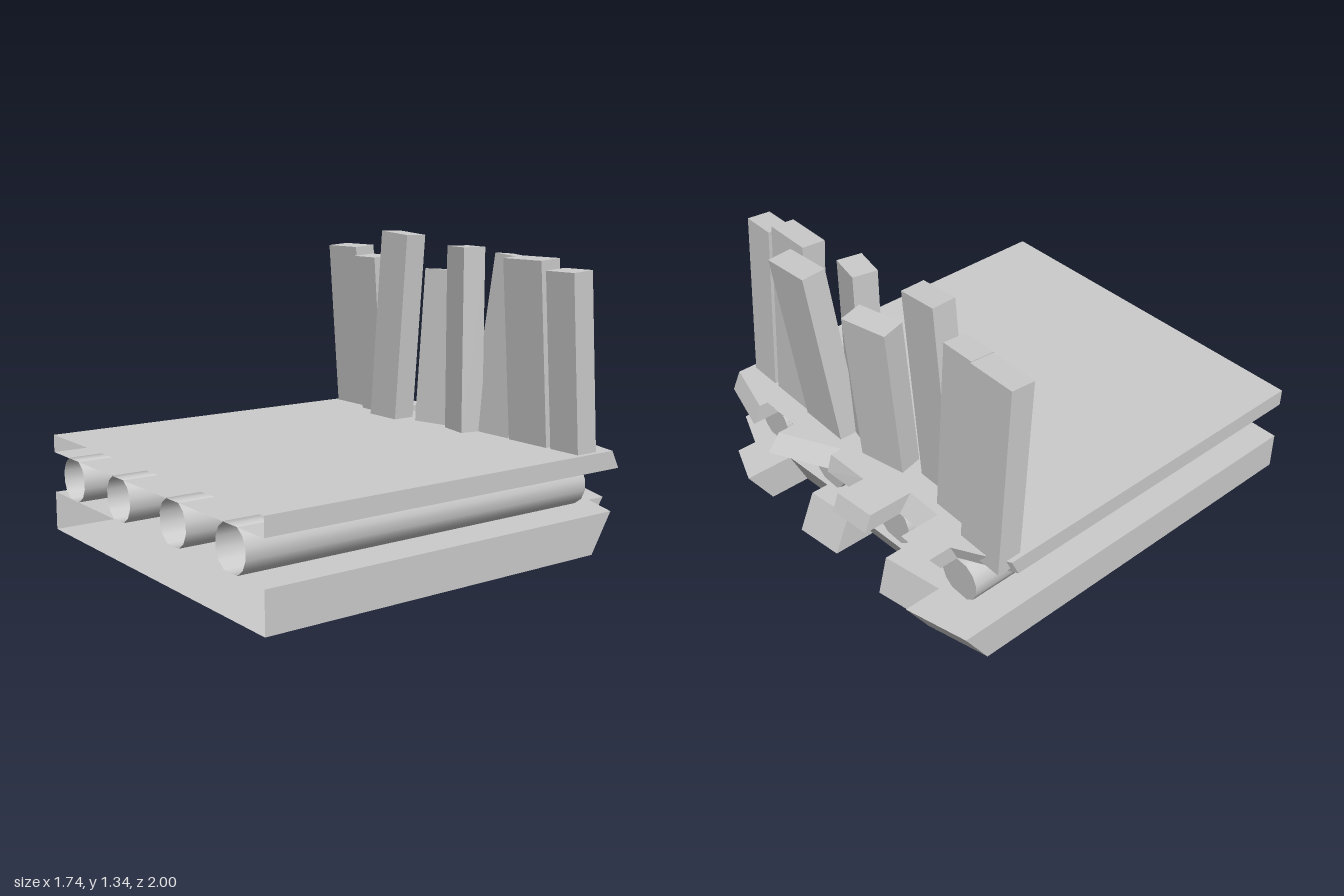
import * as THREE from 'three';

const stone = new THREE.MeshStandardMaterial({ color: 0xcccccc, side: THREE.DoubleSide, flatShading: true });
const smooth = new THREE.MeshStandardMaterial({ color: 0xcccccc, side: THREE.DoubleSide });
const HALF = 0.87, FRONT = 1;

// Slab with an open front and a broken back edge.
// Each segment: [x0, x1, top z at x0, top z at x1, bottom z at x0, bottom z at x1]
function slab(name, y0, y1, segments) {
  const line = [[-HALF, FRONT, FRONT]];
  for (const [x0, x1, t0, t1, b0, b1] of segments) line.push([x0, t0, b0], [x1, t1, b1]);
  line.push([HALF, FRONT, FRONT]);
  const pos = [];
  const quad = (a, b, c, d) => pos.push(...a, ...b, ...c, ...a, ...c, ...d);
  for (let i = 0; i < line.length - 1; i++) {
    const [xa, ta, ba] = line[i], [xb, tb, bb] = line[i + 1];
    // side, back facet or step
    quad([xa, y1, ta], [xb, y1, tb], [xb, y0, bb], [xa, y0, ba]);
    if (xb > xa) {
      quad([xa, y1, FRONT], [xb, y1, FRONT], [xb, y1, tb], [xa, y1, ta]);
      quad([xa, y0, ba], [xb, y0, bb], [xb, y0, FRONT], [xa, y0, FRONT]);
    }
  }
  const geo = new THREE.BufferGeometry();
  geo.setAttribute('position', new THREE.Float32BufferAttribute(pos, 3));
  geo.computeVertexNormals();
  const mesh = new THREE.Mesh(geo, stone);
  mesh.name = name;
  return mesh;
}

// Squash a round profile flat where it meets the slabs
function flatten(geo, limit) {
  const p = geo.attributes.position;
  for (let i = 0; i < p.count; i++) p.setY(i, THREE.MathUtils.clamp(p.getY(i), -limit, limit));
  return geo;
}

// Pipe open at the front and closed at the back
function pipe(x) {
  const group = new THREE.Group(), back = -0.74, r = 0.105, sides = 14;
  const length = FRONT - back;
  const tube = new THREE.CylinderGeometry(r, r, length, sides, 1, true).rotateX(Math.PI / 2);
  const cap = new THREE.CircleGeometry(r, sides).rotateZ(Math.PI / 2).rotateY(Math.PI);
  cap.translate(0, 0, -length / 2);
  group.add(new THREE.Mesh(flatten(tube, 0.092), smooth), new THREE.Mesh(flatten(cap, 0.092), stone));
  group.children[0].name = 'pipeWall';
  group.children[1].name = 'pipeEnd';
  group.position.set(x, 0.27, (FRONT + back) / 2);
  group.name = 'pipe';
  return group;
}

// Upright plank, turned about the middle of its foot
function plank([w, h, x, z, lean, yaw = 0, tilt = 0]) {
  const mesh = new THREE.Mesh(new THREE.BoxGeometry(w, h, 0.11).translate(0, h / 2, 0), stone);
  mesh.position.set(x, 0.387, z);
  mesh.rotation.set(lean, yaw, tilt);
  mesh.name = 'plank';
  return mesh;
}

export function createModel() {
  const model = new THREE.Group();
  model.name = 'brokenFloor';

  model.add(slab('lowerSlab', 0, 0.175, [
    [-HALF, -0.59, -0.88, -0.955, -0.77, -0.845],
    [-0.59, -0.31, -0.785, -0.84, -0.83, -0.885],
    [-0.31, -0.005, -0.76, -0.78, -0.67, -0.69],
    [-0.005, 0.22, -0.81, -0.84, -0.885, -0.915],
    [0.22, 0.485, -0.76, -0.78, -0.68, -0.70],
    [0.485, 0.68, -1, -0.93, -0.89, -0.81],
    [0.68, HALF, -0.84, -0.77, -0.74, -0.66],
  ]));

  model.add(slab('upperSlab', 0.36, 0.44, [
    [-HALF, -0.65, -0.645, -0.77, -0.61, -0.735],
    [-0.65, -0.475, -0.875, -0.875, -0.82, -0.82],
    [-0.475, -0.30, -0.69, -0.69, -0.75, -0.75],
    [-0.30, -0.105, -0.895, -0.915, -0.925, -0.945],
    [-0.105, 0.11, -0.785, -0.795, -0.805, -0.82],
    [0.11, 0.38, -0.74, -0.88, -0.80, -0.94],
    [0.38, 0.59, -0.80, -0.80, -0.75, -0.75],
    [0.59, HALF, -0.84, -0.77, -0.88, -0.81],
  ]));

  for (const x of [-0.665, -0.24, 0.22, 0.645]) model.add(pipe(x));

  // width, height, foot x, foot z, lean, yaw, tilt
  const planks = [
    [0.225, 0.865, -0.737, -0.643, 0.07],
    [0.16, 0.825, -0.5, -0.597, 0.07],
    [0.19, 0.945, -0.337, -0.525, -0.015, 0, -0.075],
    [0.22, 0.775, -0.063, -0.605, -0.075, 0.22],
    [0.15, 0.895, 0.138, -0.575, 0, -0.2],
    [0.25, 0.86, 0.283, -0.645, -0.085, 0, -0.09],
    [0.23, 0.865, 0.545, -0.643, 0.07],
    [0.16, 0.825, 0.765, -0.643, 0.07],
  ];
  for (const p of planks) model.add(plank(p));

  return model;
}
